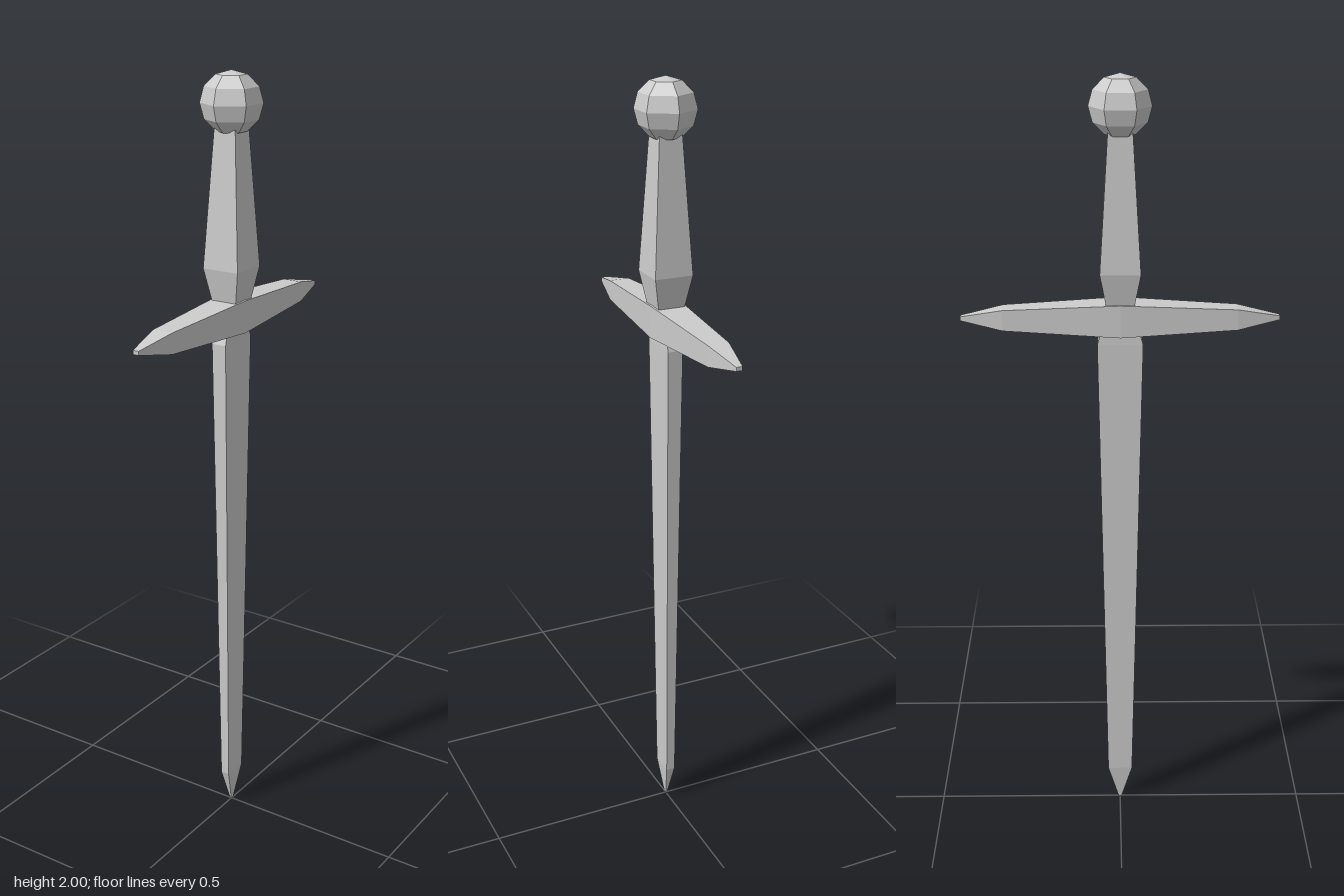
import * as THREE from 'three';

const material = new THREE.MeshStandardMaterial({ color: 0xcccccc, flatShading: true });

// Four-sided bar along y from stations [y, half width x, half width z]
function taperedBar(stations) {
  const n = stations.length - 1;
  const geo = new THREE.BoxGeometry(2, 1, 2, 1, n, 1);
  const pos = geo.attributes.position;
  for (let i = 0; i < pos.count; i++) {
    const [y, hx, hz] = stations[Math.round((pos.getY(i) + 0.5) * n)];
    pos.setXYZ(i, pos.getX(i) * hx, y, pos.getZ(i) * hz);
  }
  const flat = geo.toNonIndexed();
  flat.computeVertexNormals();
  return flat;
}

export function createModel() {
  const group = new THREE.Group();
  const add = (name, geo) => {
    const mesh = new THREE.Mesh(geo, material);
    mesh.name = name;
    group.add(mesh);
    return mesh;
  };

  // Blade, point down, with a slight shoulder under the guard
  add('blade', taperedBar([
    [0, 0.002, 0.004],
    [0.1, 0.012, 0.033],
    [1.345, 0.02, 0.057],
    [1.40, 0.018, 0.04],
  ]));

  // Crossguard, running front to back
  const guard = add('crossguard', taperedBar([
    [-0.395, 0.008, 0.005],
    [-0.29, 0.027, 0.026],
    [0, 0.042, 0.041],
    [0.29, 0.027, 0.026],
    [0.395, 0.008, 0.005],
  ]).rotateX(Math.PI / 2));
  guard.position.y = 1.41;

  // Grip, swelling just above the guard
  add('grip', taperedBar([
    [1.41, 0.028, 0.028],
    [1.53, 0.05, 0.05],
    [1.88, 0.029, 0.029],
  ]));

  // Faceted pommel with corners to the front and back
  const pommel = add('pommel', new THREE.SphereGeometry(0.076, 6, 6).rotateY(Math.PI / 6));
  pommel.position.y = 1.924;

  return group;
}
